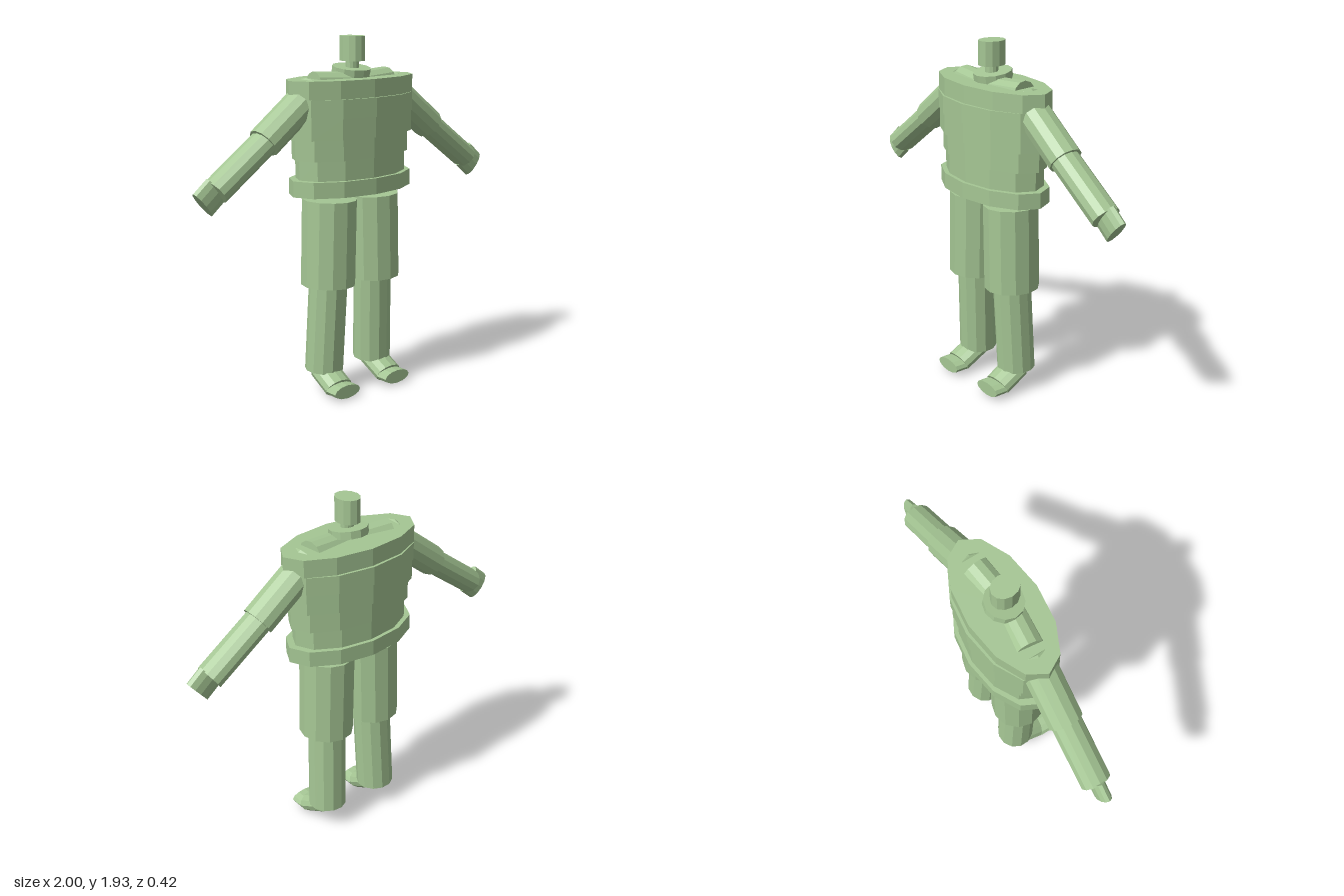
import * as THREE from 'three';

const UP = new THREE.Vector3(0, 1, 0);

export function createModel() {
  const model = new THREE.Group();
  model.name = 'mannequin';
  const green = new THREE.MeshStandardMaterial({ color: 0xa5c694, flatShading: true });
  green.name = 'sage green';

  // Elliptical cylinder from point a to point b with two cross-section radii
  function segment(name, a, b, rx, rz, parent = model) {
    const start = new THREE.Vector3(...a);
    const end = new THREE.Vector3(...b);
    const axis = end.clone().sub(start);
    const geometry = new THREE.CylinderGeometry(1, 1, axis.length(), 12);
    geometry.scale(rx, 1, rz);
    const mesh = new THREE.Mesh(geometry, green);
    mesh.name = name;
    mesh.position.copy(start).add(end).multiplyScalar(0.5);
    mesh.quaternion.setFromUnitVectors(UP, axis.normalize());
    parent.add(mesh);
  }

  // Torso rings, top to bottom: name, bottom y, top y, half width, half depth
  const torso = new THREE.Group();
  torso.name = 'torso';
  model.add(torso);
  [
    ['upperChest', 1.63, 1.725, 0.412, 0.195],
    ['chest', 1.53, 1.63, 0.405, 0.21],
    ['ribs', 1.42, 1.53, 0.4, 0.203],
    ['waist', 1.31, 1.42, 0.375, 0.192],
    ['belly', 1.2, 1.31, 0.35, 0.19],
    ['pelvis', 1.12, 1.205, 0.39, 0.21],
  ].forEach(([name, y0, y1, rx, rz]) => segment(name, [0, y0, 0], [0, y1, 0], rx, rz, torso));

  // Tilted collar, neck and head
  segment('collar', [0, 1.737, 0.001], [0, 1.777, 0.007], 0.105, 0.103);
  segment('neck', [0, 1.71, 0.014], [0, 1.815, 0.012], 0.036, 0.034);
  segment('head', [0, 1.81, 0.012], [0, 1.94, 0.012], 0.063, 0.076);

  // Mirrored limbs
  for (const s of [1, -1]) {
    const side = new THREE.Group();
    side.name = s > 0 ? 'leftLimbs' : 'rightLimbs';
    model.add(side);
    const limb = (name, a, b, rx, rz) =>
      segment(name, [s * a[0], a[1], a[2]], [s * b[0], b[1], b[2]], rx, rz, side);

    limb('collarbone', [0.03, 1.685, 0.022], [0.25, 1.695, -0.004], 0.07, 0.078);
    limb('upperArm', [0.254, 1.668, 0], [0.575, 1.423, 0], 0.085, 0.094);
    limb('forearm', [0.56, 1.434, 0], [0.873, 1.208, 0], 0.069, 0.082);
    limb('hand', [0.867, 1.22, 0], [0.947, 1.153, 0], 0.081, 0.036);

    limb('thigh', [0.148, 1.083, 0], [0.16, 0.615, 0], 0.148, 0.151);
    limb('shin', [0.158, 0.63, -0.002], [0.174, 0.128, -0.022], 0.105, 0.105);
    limb('foot', [0.178, 0.128, -0.02], [0.181, 0.056, 0.113], 0.085, 0.056);
    limb('toes', [0.181, 0.054, 0.115], [0.181, 0.054, 0.19], 0.087, 0.037);
  }
  return model;
}
